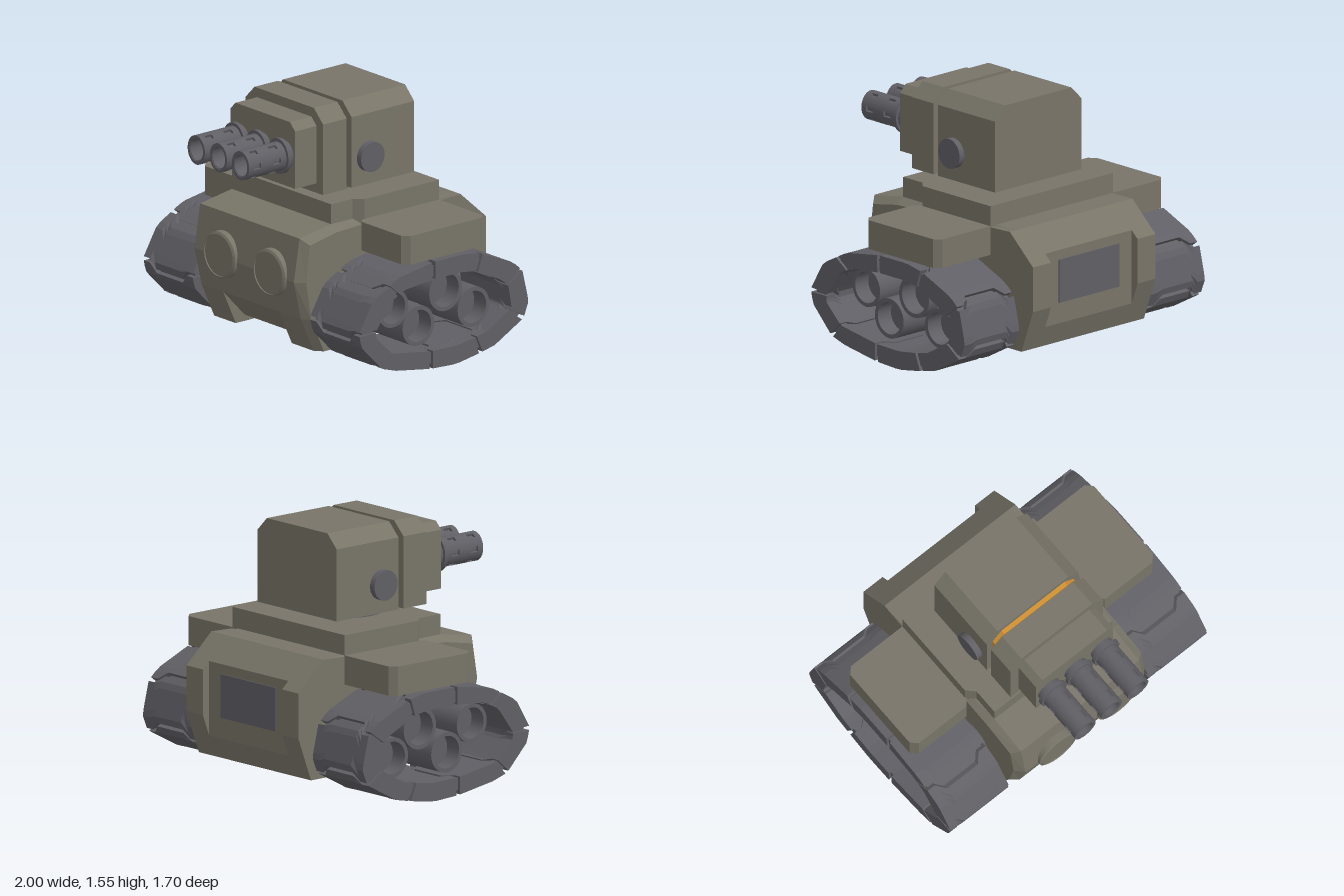
import * as THREE from 'three';

const V2 = (x, y) => new THREE.Vector2(x, y);

// Solid skinned over sections along x; each section is { x, p: [[z, y], ...] } running top, front, bottom, back
function loft(sections) {
  const pos = [];
  const put = (s, i) => pos.push(s.x, s.p[i][1], s.p[i][0]);
  const n = sections[0].p.length;
  for (let k = 0; k + 1 < sections.length; k++) {
    const a = sections[k], b = sections[k + 1];
    for (let i = 0; i < n; i++) {
      const j = (i + 1) % n;
      put(a, i); put(a, j); put(b, j);
      put(a, i); put(b, j); put(b, i);
    }
  }
  const cap = (s, flip) => {
    const tris = THREE.ShapeUtils.triangulateShape(s.p.map(([z, y]) => V2(-z, y)), []);
    for (const [a, b, c] of tris) (flip ? [a, c, b] : [a, b, c]).forEach((i) => put(s, i));
  };
  cap(sections[0], true);
  cap(sections[sections.length - 1], false);
  const g = new THREE.BufferGeometry();
  g.setAttribute('position', new THREE.Float32BufferAttribute(pos, 3));
  g.computeVertexNormals();
  return g;
}

const extrude = (shape, depth, curveSegments = 8) =>
  new THREE.ExtrudeGeometry(shape, { depth, bevelEnabled: false, curveSegments });

// Horizontal slab from a plan of [x, z] points
const slab = (plan, y0, y1) =>
  extrude(new THREE.Shape(plan.map(([x, z]) => V2(x, -z))), y1 - y0).rotateX(-Math.PI / 2).translate(0, y0, 0);

// Block with bevelled upper edges, running from z0 to z1
const bevelBlock = (w, y0, y1, c, z0, z1) =>
  extrude(new THREE.Shape([[-w, y0], [w, y0], [w, y1 - c], [w - c, y1], [c - w, y1], [-w, y1 - c]]
    .map(([x, y]) => V2(x, y))), z1 - z0).translate(0, 0, z0);

// Arc-shaped piece of a tube wall along z
function wallPiece(r0, r1, start, len, z0, z1) {
  const s = new THREE.Shape();
  s.absarc(0, 0, r1, start, start + len, false);
  s.absarc(0, 0, r0, start + len, start, true);
  return extrude(s, z1 - z0, Math.max(4, Math.round(len * 4))).translate(0, 0, z0);
}

// Outer and inner outline of the track, matched point by point, as [z, y]
const OUTER = [[-.02, .68], [.26, .635], [.46, .53], [.57, .345], [.55, .255], [.39, .09], [.28, .055], [0, .01], [-.2, 0],
  [-.38, .03], [-.5, .055], [-.73, .18], [-.77, .28], [-.72, .485], [-.645, .55], [-.395, .655], [-.27, .68]];
const INNER = [[-.02, .57], [.21, .55], [.32, .495], [.435, .335], [.435, .29], [.31, .17], [.25, .16], [0, .12], [-.2, .115],
  [-.34, .135], [-.44, .155], [-.62, .255], [-.635, .27], [-.61, .41], [-.55, .46], [-.36, .55], [-.25, .57]];
const N = OUTER.length;
const mix = (a, b, f) => [a[0] + (b[0] - a[0]) * f, a[1] + (b[1] - a[1]) * f];
const along = [0];
OUTER.forEach((p, i) => {
  const q = OUTER[(i + 1) % N];
  along.push(along[i] + Math.hypot(q[0] - p[0], q[1] - p[1]));
});
const LENGTH = along[N];
const lengthAt = (t) => along[Math.floor(t)] + (t % 1) * (along[Math.floor(t) + 1] - along[Math.floor(t)]);

// Point at distance s round the track; f = 0 on the outside, 1 on the inside
function trackPoint(s, f) {
  s = ((s % LENGTH) + LENGTH) % LENGTH;
  let i = 0;
  while (i < N - 1 && along[i + 1] <= s) i++;
  const t = (s - along[i]) / (along[i + 1] - along[i]), j = (i + 1) % N;
  return mix(mix(OUTER[i], OUTER[j], t), mix(INNER[i], INNER[j], t), f);
}

export function createModel() {
  const hull = new THREE.MeshStandardMaterial({ color: 0x787468 });
  hull.name = 'hullOlive';
  const steel = new THREE.MeshStandardMaterial({ color: 0x605f65 });
  steel.name = 'steelGrey';
  const amber = new THREE.MeshStandardMaterial({ color: 0xd4902f });
  amber.name = 'amberGlow';

  const model = new THREE.Group();
  model.name = 'tank';
  const add = (parent, name, geo, mat, x = 0, y = 0, z = 0) => {
    const m = new THREE.Mesh(geo, mat);
    m.name = name;
    m.position.set(x, y, z);
    parent.add(m);
    return m;
  };

  // Hull: front feet outside x = 0.26, recessed rear between x = -0.36 and 0.36
  const profile = (foot, post) => [[.33, .86], [.58, .82], [.625, .55], [.57, .31],
    foot ? [.47, .09] : [.4, .13], foot ? [.33, .09] : [.33, .13], [.25, .13], [-.75, .13],
    post ? [-.85, .4] : [-.8, .265], post ? [-.85, .68] : [-.8, .725], [-.65, .86]];
  const flank = profile(true, true);
  [[.33, .82], [.54, .78], [.57, .55], [.53, .31], [.43, .09]].forEach((p, i) => { flank[i] = p; });
  const half = [[.51, flank], [.46, profile(true, true)], [.36, profile(true, true)],
    [.36, profile(true, false)], [.26, profile(true, false)], [.26, profile(false, false)]];
  add(model, 'hull', loft([
    ...half.map(([x, p]) => ({ x: -x, p })),
    ...half.slice().reverse().map(([x, p]) => ({ x, p })),
  ]), hull);
  add(model, 'rearPanel', new THREE.BoxGeometry(.5, .27, .008), steel, 0, .53, -.803);

  // Upper deck and side sponsons
  add(model, 'deck', slab([[-.46, .33], [.46, .33], [.46, .16], [.51, .11], [.51, -.48],
    [-.51, -.48], [-.51, .11], [-.46, .16]], .8, .985), hull);
  for (const side of [1, -1]) {
    add(model, side > 0 ? 'leftSponson' : 'rightSponson', slab([[.49, .1], [.54, .16], [.91, .16], [.95, .12],
      [.95, -.44], [.91, -.48], [.49, -.48]].map(([x, z]) => [x * side, z]), .68, .86), hull);
  }

  // Round front covers with a thin rim
  const cover = new THREE.LatheGeometry([[.147, 0], [.147, .09], [.147, .09], [.132, .098], [.132, .098],
    [.132, .09], [.132, .09], [0, .09]].map(([r, h]) => V2(r, h)), 40).rotateX(Math.PI / 2);
  for (const x of [-.215, .245]) add(model, 'frontCover', cover, hull, x, .565, .548);

  // Tracks: a belt, pads with tongue-shaped joints, and four hollow wheels
  const joints = [0, 1.4, 3.05, 5, 7, 9.1, 11, 13.1, 15].map(lengthAt);
  const columns = [[-.2275, 0], [-.17, 0], [-.12, .06], [.12, .06], [.17, 0], [.2275, 0]];
  const gap = .014, rows = 7;
  const pads = joints.map((s0, k) => {
    const s1 = k + 1 < joints.length ? joints[k + 1] : LENGTH;
    return loft(columns.map(([x, shift]) => {
      const out = [], inn = [];
      for (let r = 0; r <= rows; r++) {
        const s = s0 + gap + shift + (s1 - s0 - 2 * gap) * r / rows;
        out.push(trackPoint(s, 0));
        inn.unshift(trackPoint(s, 1));
      }
      return { x, p: [...out, ...inn] };
    }));
  });
  const loop = (f) => OUTER.map((p, i) => mix(p, INNER[i], f)).map(([z, y]) => V2(-z, y));
  const beltShape = new THREE.Shape(loop(.25));
  beltShape.holes.push(new THREE.Path(loop(.9)));
  const belt = extrude(beltShape, .42).rotateY(Math.PI / 2).translate(-.21, 0, 0);
  const wheelProfile = [[1, 0], [1, .38], [1, .38], [.8, .38], [.8, .38], [.8, .27], [.8, .27], [0, .27]];
  for (const side of [1, -1]) {
    const track = new THREE.Group();
    track.name = side > 0 ? 'leftTrack' : 'rightTrack';
    track.position.x = side * .7725;
    model.add(track);
    add(track, 'belt', belt, steel);
    pads.forEach((g) => add(track, 'trackPad', g, steel));
    for (const [z, y, r] of [[.205, .405, .12], [.005, .255, .125], [-.21, .435, .13], [-.43, .285, .125]]) {
      const g = new THREE.LatheGeometry(wheelProfile.map(([a, h]) => V2(a * r, h)), 32);
      add(track, 'wheel', g.rotateZ(-side * Math.PI / 2), steel, -side * .265, y, z);
    }
  }

  // Turret, slightly off centre
  const turret = new THREE.Group();
  turret.name = 'turret';
  turret.position.x = .025;
  model.add(turret);
  add(turret, 'turretRing', new THREE.CylinderGeometry(.25, .25, .07, 40), steel, 0, 1.0, -.025);
  add(turret, 'headRear', bevelBlock(.36, 1.025, 1.555, .085, -.39, .105), hull);
  add(turret, 'headFront', bevelBlock(.36, 1.025, 1.555, .085, .145, .33), hull);
  add(turret, 'glowStrip', bevelBlock(.315, 1.072, 1.52, .07, .1, .15), amber);
  add(turret, 'slotFloor', new THREE.BoxGeometry(.63, .045, .05), hull, 0, 1.0505, .125);
  add(turret, 'gunMount', bevelBlock(.3, 1.085, 1.495, .048, .33, .5), hull);
  for (const side of [1, -1]) {
    add(turret, 'sideDisc', new THREE.CylinderGeometry(.093, .093, .06, 36).rotateZ(Math.PI / 2),
      steel, side * .37, 1.2, -.03);
  }

  // Three vented barrels, a little taller than wide
  const full = Math.PI * 2, sixth = full / 6, slot = .38;
  const vents = [[.6, .66], [.755, .81]];
  for (const x of [-.205, 0, .205]) {
    const gun = new THREE.Group();
    gun.name = 'gun';
    gun.position.set(x, 1.28, 0);
    gun.scale.y = 1.14;
    turret.add(gun);
    const ring = (name, r0, r1, z0, z1) => add(gun, name, wallPiece(r0, r1, 0, full, z0, z1), steel);
    ring('barrelCore', .058, .066, .49, .845);
    ring('barrelBand', .062, .08, .49, .6);
    ring('barrelBand', .062, .08, .66, .755);
    ring('barrelBand', .062, .08, .81, .85);
    ring('flange', .07, .098, .53, .555);
    add(gun, 'barrelBase', new THREE.CircleGeometry(.06, 24), steel, 0, 0, .51);
    for (const [z0, z1] of vents) {
      for (let i = 0; i < 6; i++) {
        add(gun, 'ventBridge', wallPiece(.062, .08, i * sixth + slot / 2, sixth - slot, z0, z1), steel);
      }
    }
  }
  return model;
}
